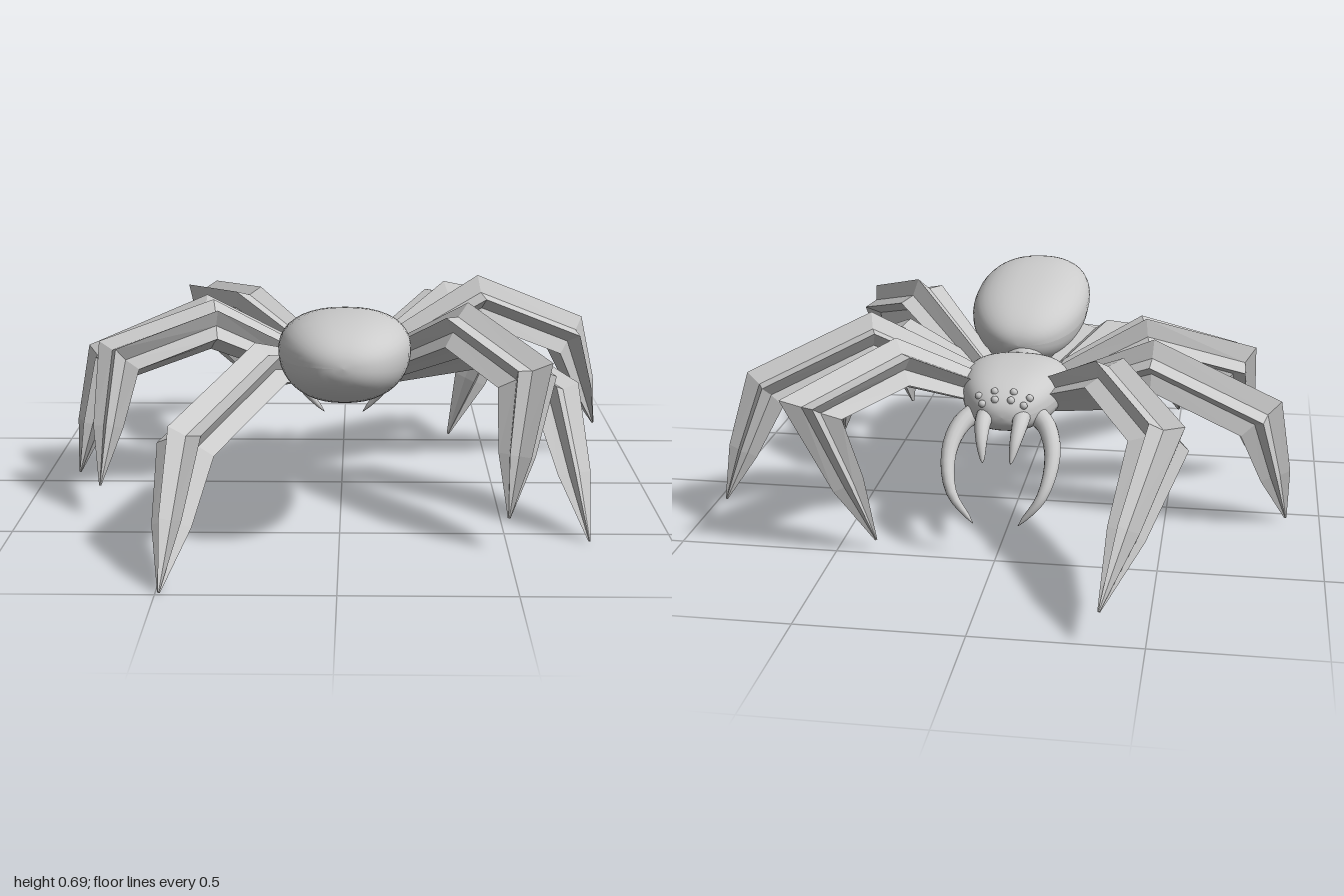
import * as THREE from 'three';

const V = (a) => new THREE.Vector3(...a);
const smoothGrey = new THREE.MeshStandardMaterial({ color: 0xcccccc });
const facetGrey = new THREE.MeshStandardMaterial({ color: 0xcccccc, flatShading: true, side: THREE.DoubleSide });

// Sweep a closed section [side, up] along points, scaled by a radius at each one
function loft(points, radii, section, normal) {
  const pos = [], index = [], n = section.length, last = points.length - 1;
  points.forEach((p, i) => {
    const dIn = points[Math.max(i, 1)].clone().sub(points[Math.max(i, 1) - 1]).normalize();
    const k = Math.min(i, last - 1);
    const dOut = points[k + 1].clone().sub(points[k]).normalize();
    const t = dIn.clone().add(dOut).normalize();
    const s = normal.clone().addScaledVector(t, -normal.dot(t)).normalize();
    const u = t.clone().cross(s);
    const mitre = Math.min(1.35, 1 / Math.max(0.3, t.dot(dOut)));
    for (const [a, b] of section) {
      pos.push(...p.clone().addScaledVector(s, a * radii[i]).addScaledVector(u, b * radii[i] * mitre).toArray());
    }
    if (i < last) for (let j = 0; j < n; j++) {
      const a = i * n + j, b = i * n + (j + 1) % n;
      index.push(a, b, b + n, a, b + n, a + n);
    }
  });
  const g = new THREE.BufferGeometry();
  g.setAttribute('position', new THREE.Float32BufferAttribute(pos, 3));
  g.setIndex(index);
  g.computeVertexNormals();
  return g;
}

// Leg section, counter-clockwise: broad underside, ridged flanks and crest
const half = [[0.85, -0.7], [0.55, -0.15], [1, 0.3], [0.4, 0.4]];
const legSection = [[0, -0.65], ...half, [0, 0.95], ...half.map(([a, b]) => [-a, b]).reverse()];
const round = Array.from({ length: 14 }, (_, i) => [Math.cos(i / 7 * Math.PI), Math.sin(i / 7 * Math.PI)]);

// hip, femur bend, knee, foot
const legs = {
  rightLeg1: [[-0.1, 0.41, -0.1], [-0.33, 0.53, -0.3], [-0.51, 0.48, -0.67], [-0.37, 0.1, -1.0]],
  rightLeg2: [[-0.1, 0.39, -0.04], [-0.45, 0.53, -0.1], [-0.79, 0.38, -0.12], [-0.89, 0.01, -0.06]],
  rightLeg3: [[-0.1, 0.4, 0.03], [-0.41, 0.555, 0.09], [-0.7, 0.46, 0.17], [-0.75, 0.1, 0.36]],
  rightLeg4: [[-0.1, 0.4, 0.04], [-0.24, 0.47, 0.32], [-0.445, 0.335, 0.7], [-0.49, 0.0, 0.99]],
  leftLeg1: [[0.1, 0.41, -0.1], [0.34, 0.55, -0.29], [0.56, 0.47, -0.53], [0.38, 0.03, -0.47]],
  leftLeg2: [[0.1, 0.41, -0.05], [0.45, 0.59, -0.16], [0.765, 0.445, -0.285], [0.89, 0.1, -0.38]],
  leftLeg3: [[0.1, 0.39, 0.02], [0.42, 0.5, 0.12], [0.67, 0.37, 0.3], [0.75, 0.0, 0.57]],
  leftLeg4: [[0.1, 0.4, 0.04], [0.38, 0.59, 0.31], [0.56, 0.5, 0.56], [0.5, 0.1, 0.65]],
};

function legGeometry(joints) {
  const [hip, bend, knee, foot] = joints.map(V);
  // the hinge axis of the knee sets the width direction
  const thigh = knee.clone().sub(hip);
  const normal = thigh.clone().cross(foot.clone().sub(knee)).normalize();
  if (thigh.clone().cross(normal).y < 0) normal.negate();
  const coxa = hip.clone().lerp(bend, 0.4);
  const shin = knee.clone().lerp(foot, 0.55);
  return loft([hip, coxa, bend, knee, shin, foot], [0.055, 0.067, 0.083, 0.083, 0.055, 0.004], legSection, normal);
}

// Ellipsoid pushed towards a rounded box by an exponent, then shaped by a rule
function blob(rx, ry, rz, power, rule) {
  const g = new THREE.SphereGeometry(1, 40, 28).rotateX(Math.PI / 2);
  const p = g.attributes.position, v = new THREE.Vector3();
  const box = (c) => Math.sign(c) * Math.abs(c) ** power;
  for (let i = 0; i < p.count; i++) {
    v.fromBufferAttribute(p, i);
    v.set(box(v.x), box(v.y), box(v.z));
    rule(v);
    p.setXYZ(i, v.x * rx, v.y * ry, v.z * rz);
  }
  g.computeVertexNormals();
  return g;
}

export function createModel() {
  const model = new THREE.Group();
  const add = (name, geometry, material, at = [0, 0, 0]) => {
    const mesh = new THREE.Mesh(geometry, material);
    mesh.name = name;
    mesh.position.set(...at);
    model.add(mesh);
    return mesh;
  };

  // Abdomen, tilted up towards its free end, flatter and wider on top
  const abdomen = add('abdomen', blob(0.197, 0.138, 0.365, 0.88, (v) => {
    v.x *= 1 + 0.08 * v.y;
    if (v.y > 0) v.y *= 0.93;
  }), smoothGrey, [0.015, 0.55, 0.44]);
  abdomen.rotation.x = -0.1;

  // Head and thorax, narrower and lower at the face
  add('thorax', blob(0.165, 0.09, 0.24, 0.8, (v) => {
    v.x *= 1 + 0.2 * v.z;
    if (v.z < 0) v.y -= 0.15 * v.z * v.z;
  }), smoothGrey, [0, 0.425, -0.11]);
  add('waist', new THREE.SphereGeometry(0.07, 20, 14), smoothGrey, [0, 0.45, 0.12]);

  // Legs
  for (const [name, joints] of Object.entries(legs)) add(name, legGeometry(joints), facetGrey);

  // Paired mouthparts and eyes
  for (const s of [1, -1]) {
    const side = s > 0 ? 'left' : 'right';
    const tube = (name, pts, r) => {
      const curve = new THREE.CatmullRomCurve3(pts.map(([x, y, z]) => new THREE.Vector3(x * s, y, z)));
      const path = curve.getPoints(16);
      const radii = path.map((_, i) => r * Math.sqrt(1.002 - (i / 16) ** 2) * (1 - 0.35 * i / 16));
      add(side + name, loft(path, radii, round, V([0.3, 1, 0.1]).cross(path[9].clone().sub(path[7])).normalize()), smoothGrey);
    };
    tube('Fang', [[0.08, 0.4, -0.24], [0.135, 0.37, -0.3], [0.162, 0.3, -0.38], [0.14, 0.2, -0.46], [0.07, 0.11, -0.48]], 0.034);
    tube('Palp', [[0.055, 0.41, -0.28], [0.058, 0.395, -0.36], [0.052, 0.355, -0.42], [0.043, 0.3, -0.455]], 0.03);
    [[0.03, 0.48, -0.3], [0.08, 0.463, -0.3], [0.025, 0.462, -0.327], [0.065, 0.447, -0.327]].forEach(
      (at, i) => add(`${side}Eye${i + 1}`, new THREE.SphereGeometry(0.012, 12, 8), smoothGrey, [at[0] * s, at[1], at[2]]));
  }
  return model;
}
